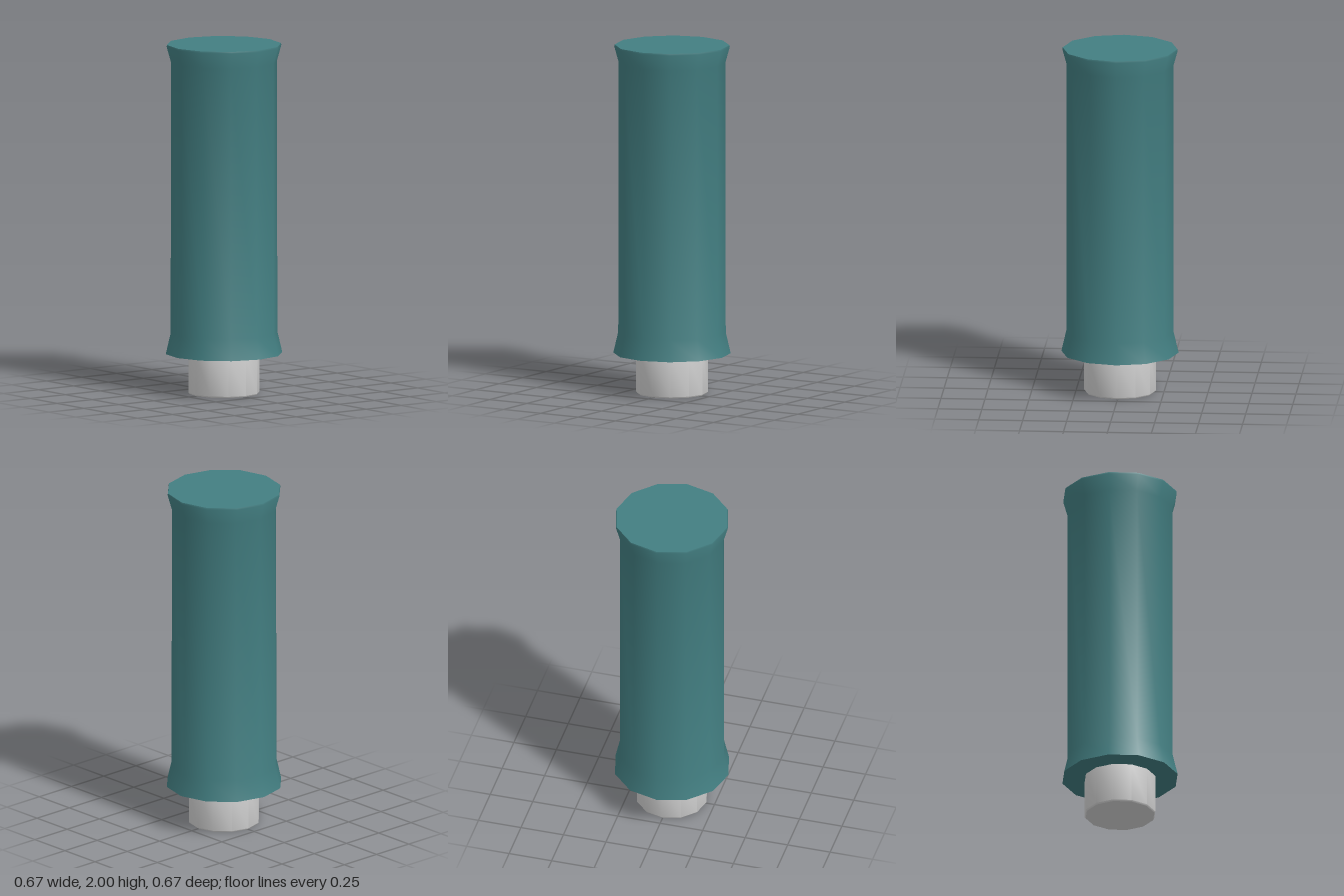
import * as THREE from 'three';
import { toCreasedNormals } from 'three/addons/utils/BufferGeometryUtils.js';

const SIDES = 12;

// Closed twelve-sided turned part: smooth around, sharp at the rims
function turned(name, profile, material) {
  const points = profile.map(([r, y]) => new THREE.Vector2(r, y));
  const geometry = toCreasedNormals(new THREE.LatheGeometry(points, SIDES), 0.7);
  const mesh = new THREE.Mesh(geometry, material);
  mesh.name = name;
  return mesh;
}

export function createModel() {
  const teal = new THREE.MeshStandardMaterial({ color: 0x437f82 });
  teal.name = 'teal';
  const paleGrey = new THREE.MeshStandardMaterial({ color: 0xd6d6d6 });
  paleGrey.name = 'pale grey';

  const model = new THREE.Group();
  model.name = 'grip';

  // Long sleeve flaring at both ends
  model.add(turned('sleeve', [
    [0, 0.23], [0.333, 0.23], [0.305, 0.35], [0.303, 1.9], [0.328, 1.99], [0.326, 2], [0, 2],
  ], teal));

  // Short stem below the sleeve, with a slightly eased bottom edge
  model.add(turned('stem', [
    [0, 0], [0.198, 0], [0.204, 0.008], [0.204, 0.24], [0, 0.24],
  ], paleGrey));

  return model;
}
